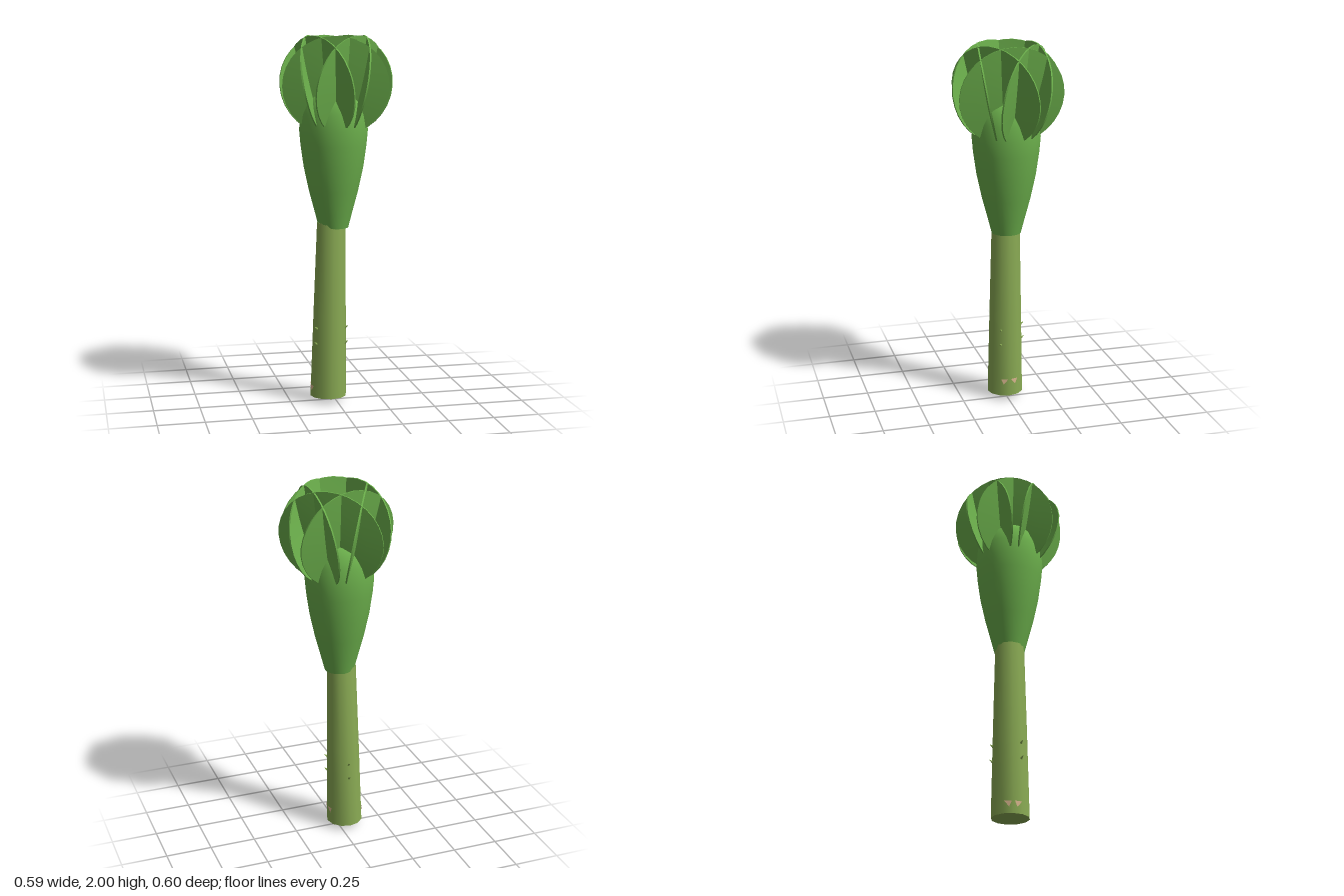
import * as THREE from 'three';
import { toCreasedNormals } from 'three/addons/utils/BufferGeometryUtils.js';

const material = (name, color, side = THREE.FrontSide) => {
  const m = new THREE.MeshStandardMaterial({ color, side });
  m.name = name;
  return m;
};

// Apply a rule to every vertex of a geometry
function reshape(geometry, rule) {
  const p = geometry.attributes.position;
  const v = new THREE.Vector3();
  for (let i = 0; i < p.count; i++) {
    rule(v.fromBufferAttribute(p, i));
    p.setXYZ(i, v.x, v.y, v.z);
  }
  geometry.computeVertexNormals();
  return geometry;
}

const lathe = (points, sides) =>
  new THREE.LatheGeometry(points.map(([r, y]) => new THREE.Vector2(r, y)), sides);

// The stem leans slightly and tapers upwards
const stemCentre = y => -0.04 + 0.019 * y;
const stemRadius = y => 0.102 - 0.023 * y;

export function createModel() {
  const model = new THREE.Group();
  const leafGreen = material('leaf green', 0x6cb04c);
  const stemGreen = material('stem green', 0x8aab54);
  const cutTan = material('cut tan', 0xdcb890, THREE.DoubleSide);

  const add = (name, geometry, mat, parent = model) => {
    const mesh = new THREE.Mesh(geometry, mat);
    mesh.name = name;
    parent.add(mesh);
    return mesh;
  };

  // Stem with a shallow conical base
  const stem = reshape(
    lathe([[0, 0.005], [0.1, 0.035], [stemRadius(0.5), 0.5], [stemRadius(1), 1], [0, 1]], 12),
    v => { v.x += stemCentre(v.y); });
  add('stem', toCreasedNormals(stem, 0.7), stemGreen);

  // Swollen cup under the petals, closed by a dome
  const cup = lathe([
    [0, 0.972], [0.08, 0.972], [0.1, 1.05], [0.132, 1.17], [0.16, 1.3], [0.177, 1.42],
    [0.184, 1.5], [0.178, 1.59], [0.16, 1.66], [0.128, 1.7], [0.07, 1.735], [0, 1.75],
  ], 28);
  add('cup', toCreasedNormals(cup, 0.9), leafGreen).position.x = -0.009;

  // Seven interlocking round petals, leaning outwards and gently curved
  const h = 0.004;
  const disc = lathe([
    [0, -h], [0.35, -h], [0.7, -h], [1, -h], [1, h], [0.7, h], [0.35, h], [0, h],
  ], 32).rotateX(Math.PI / 2);
  const petal = toCreasedNormals(reshape(disc, v => {
    const t = v.x * 0.282, dy = v.y * 0.265;
    v.set(t, 1.735 + dy, v.z + 0.113 + 0.19 * dy - 0.15 * dy * dy - 0.13 * t * t);
  }), 0.7);
  const petals = new THREE.Group();
  petals.name = 'petals';
  petals.position.x = 0.005;
  for (let i = 0; i < 7; i++) {
    add('petal', petal, leafGreen, petals).rotation.y = Math.PI / 2 + i * Math.PI * 2 / 7;
  }
  model.add(petals);

  // Place a part on the stem surface, facing outwards at an angle around it
  const onStem = (mesh, angle, y, out) => {
    const r = stemRadius(y) + out;
    mesh.position.set(stemCentre(y) + Math.cos(angle) * r, y, Math.sin(angle) * r);
    mesh.rotation.y = Math.PI / 2 - angle;
  };

  // Three columns of two small thorns
  const thorn = new THREE.ConeGeometry(0.011, 0.032, 6).rotateX(1.0);
  for (const angle of [Math.PI / 6, Math.PI * 5 / 6, -Math.PI / 2]) {
    for (const y of [0.34, 0.425]) onStem(add('thorn', thorn, stemGreen), angle, y, 0.002);
  }

  // Small pale nicks near the foot
  const nick = new THREE.ShapeGeometry(new THREE.Shape([
    new THREE.Vector2(-0.02, 0.015), new THREE.Vector2(0.006, -0.017), new THREE.Vector2(0.02, 0.015),
  ]));
  const nickMirrored = nick.clone().scale(-1, 1, 1);
  for (const s of [-1, 1]) {
    onStem(add('nick', s < 0 ? nick : nickMirrored, cutTan), s * 0.27, 0.12, 0.001);
    onStem(add('nick', s < 0 ? nickMirrored : nick, cutTan), Math.PI + s * 0.27, 0.085, 0.001);
  }
  return model;
}
